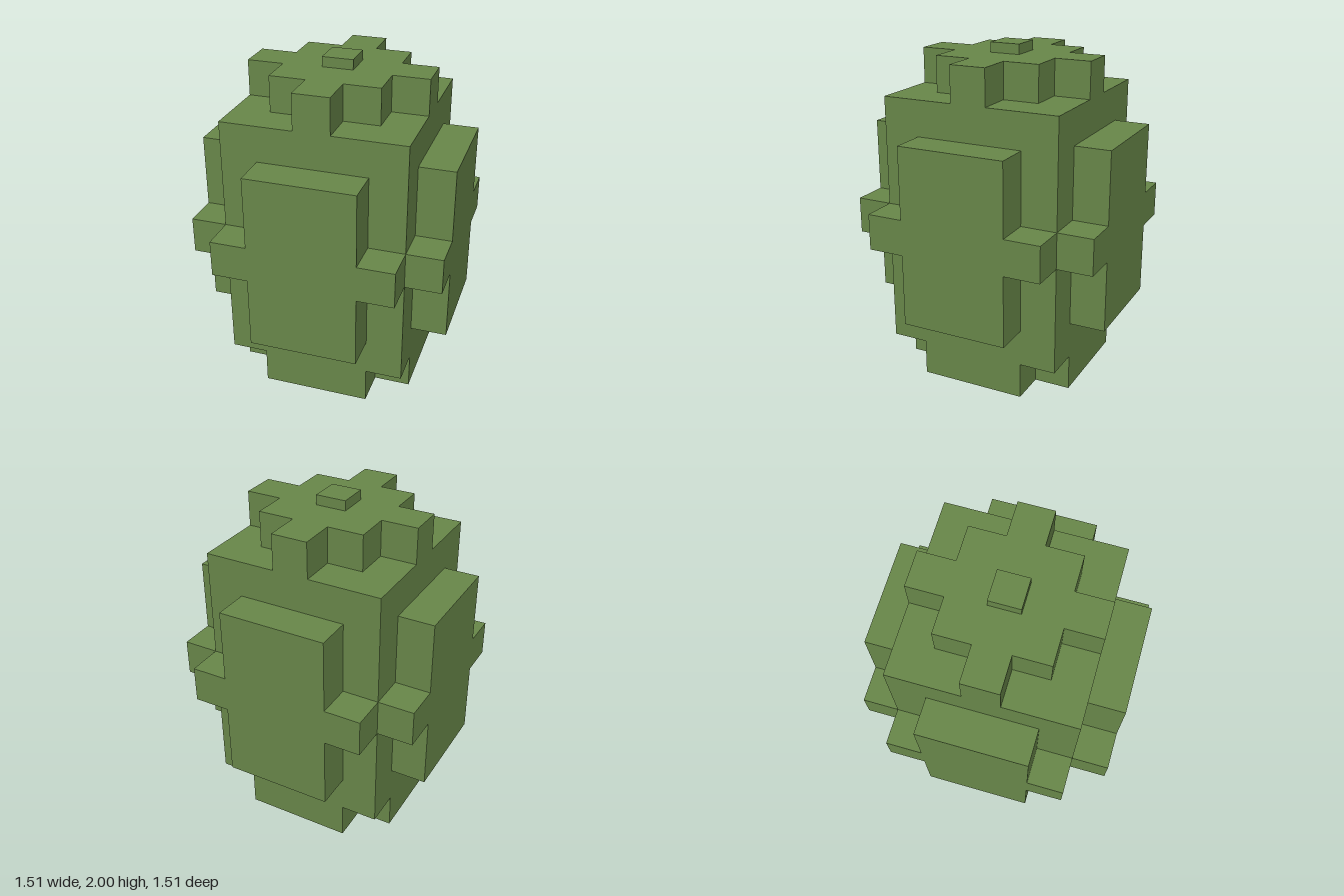
import * as THREE from 'three';

const HALF = 0.54;   // half width of the core
const STEP = 0.215;  // thickness of every raised layer

// Symmetric outline built from the corner points of one quadrant, centred on (0, 0)
function symmetricShape(quadrant) {
  const rev = [...quadrant].reverse();
  const pts = [
    ...quadrant,
    ...rev.map(([x, y]) => [-x, y]),
    ...quadrant.map(([x, y]) => [-x, -y]),
    ...rev.map(([x, y]) => [x, -y]),
  ];
  return new THREE.Shape(pts.map(([x, y]) => new THREE.Vector2(x, y)));
}

const slab = (quadrant, depth) =>
  new THREE.ExtrudeGeometry(symmetricShape(quadrant), { depth, bevelEnabled: false });

export function createModel() {
  const group = new THREE.Group();
  const green = new THREE.MeshStandardMaterial({ color: 0x69884a });
  green.name = 'cactus green';

  const add = (name, geometry, y = 0) => {
    const mesh = new THREE.Mesh(geometry, green);
    mesh.name = name;
    mesh.position.y = y;
    group.add(mesh);
    return mesh;
  };

  // Main block
  add('core', new THREE.BoxGeometry(HALF * 2, 1.51, HALF * 2), 0.97);

  // Foot with notched corners
  const foot = slab([[HALF, 0.323], [0.323, 0.323], [0.323, HALF]], STEP);
  foot.rotateX(-Math.PI / 2);
  add('foot', foot);

  // Stepped cross on top
  const crown = slab([[HALF, 0.108], [0.323, 0.108], [0.323, 0.323], [0.108, 0.323], [0.108, HALF]], STEP);
  crown.rotateX(-Math.PI / 2);
  add('crown', crown, 1.725);

  // Small top knob
  add('knob', new THREE.BoxGeometry(0.185, 0.06, 0.185), 1.97);

  // Raised panel with short arms on each of the four sides
  const panel = slab([[HALF, 0.108], [0.323, 0.108], [0.323, HALF]], STEP);
  panel.translate(0, 0, HALF);
  ['front', 'left', 'back', 'right'].forEach((side, i) => {
    add(side + 'Panel', panel, 0.972).rotation.y = (i * Math.PI) / 2;
  });

  return group;
}
